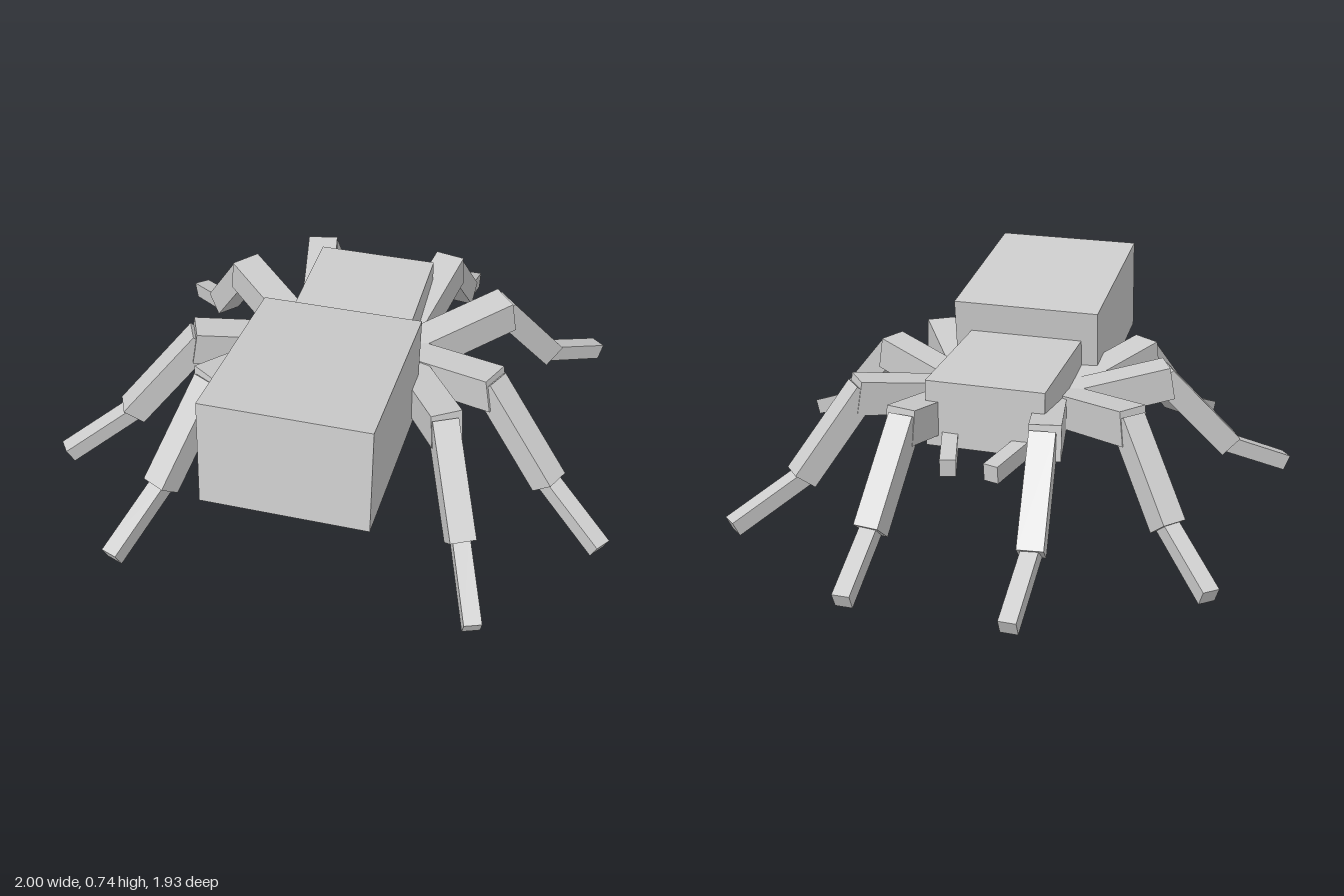
import * as THREE from 'three';

const material = new THREE.MeshStandardMaterial({ color: 0xcccccc, flatShading: true });

function box(name, w, h, d) {
  const mesh = new THREE.Mesh(new THREE.BoxGeometry(w, h, d), material);
  mesh.name = name;
  return mesh;
}

// Straight square-ended bar running from a to b, its width kept level
function bar(name, a, b, w, h, overlap = 0) {
  const start = new THREE.Vector3(...a);
  const end = new THREE.Vector3(...b);
  const dir = end.clone().sub(start).normalize();
  start.addScaledVector(dir, -overlap);
  const mesh = box(name, w, h, start.distanceTo(end));
  mesh.position.copy(start).add(end).multiplyScalar(0.5);
  mesh.lookAt(end);
  return mesh;
}

// Hip, knee, ankle and foot of each left leg as [x, z]
const legs = [
  { name: 'firstLeg', hip: [0.16, 0.02], knee: [0.255, -0.455], ankle: [0.277, -0.697], foot: [0.275, -0.957] },
  { name: 'secondLeg', hip: [0.15, 0.07], knee: [0.51, -0.235], ankle: [0.667, -0.39], foot: [0.842, -0.602] },
  { name: 'thirdLeg', hip: [0.15, 0.045], knee: [0.55, 0.228], ankle: [0.77, 0.34], foot: [0.974, 0.494] },
  { name: 'fourthLeg', hip: [0.16, 0.05], knee: [0.425, 0.472], ankle: [0.525, 0.69], foot: [0.616, 0.94] },
];

function makeLeg({ name, hip, knee, ankle, foot }, side) {
  const leg = new THREE.Group();
  leg.name = (side > 0 ? 'left ' : 'right ') + name;
  const at = ([x, z], y, k = 1) => [x * side * k, y, z * k];
  leg.add(
    bar('upperLeg', at(hip, 0.35), at(knee, 0.432), 0.11, 0.125),
    bar('middleLeg', at(knee, 0.44, 0.96), at(ankle, 0.15), 0.09, 0.092, 0.01),
    bar('lowerLeg', at(ankle, 0.15), at(foot, 0.032), 0.06, 0.06, 0.03),
  );
  return leg;
}

export function createModel() {
  const spider = new THREE.Group();
  spider.name = 'spider';

  // Body: level thorax and a larger abdomen with its end tipped up
  const thorax = box('thorax', 0.43, 0.245, 0.56);
  thorax.position.set(0, 0.4225, -0.025);
  const abdomen = box('abdomen', 0.555, 0.368, 0.685);
  abdomen.position.set(0, 0.52, 0.573);
  abdomen.rotation.x = -0.124;
  spider.add(thorax, abdomen);

  // Mirrored legs and feelers
  for (const side of [1, -1]) {
    for (const leg of legs) spider.add(makeLeg(leg, side));
    spider.add(bar(side > 0 ? 'leftFeeler' : 'rightFeeler',
      [0.185 * side, 0.34, -0.1], [0.076 * side, 0.308, -0.482], 0.056, 0.064));
  }
  return spider;
}
